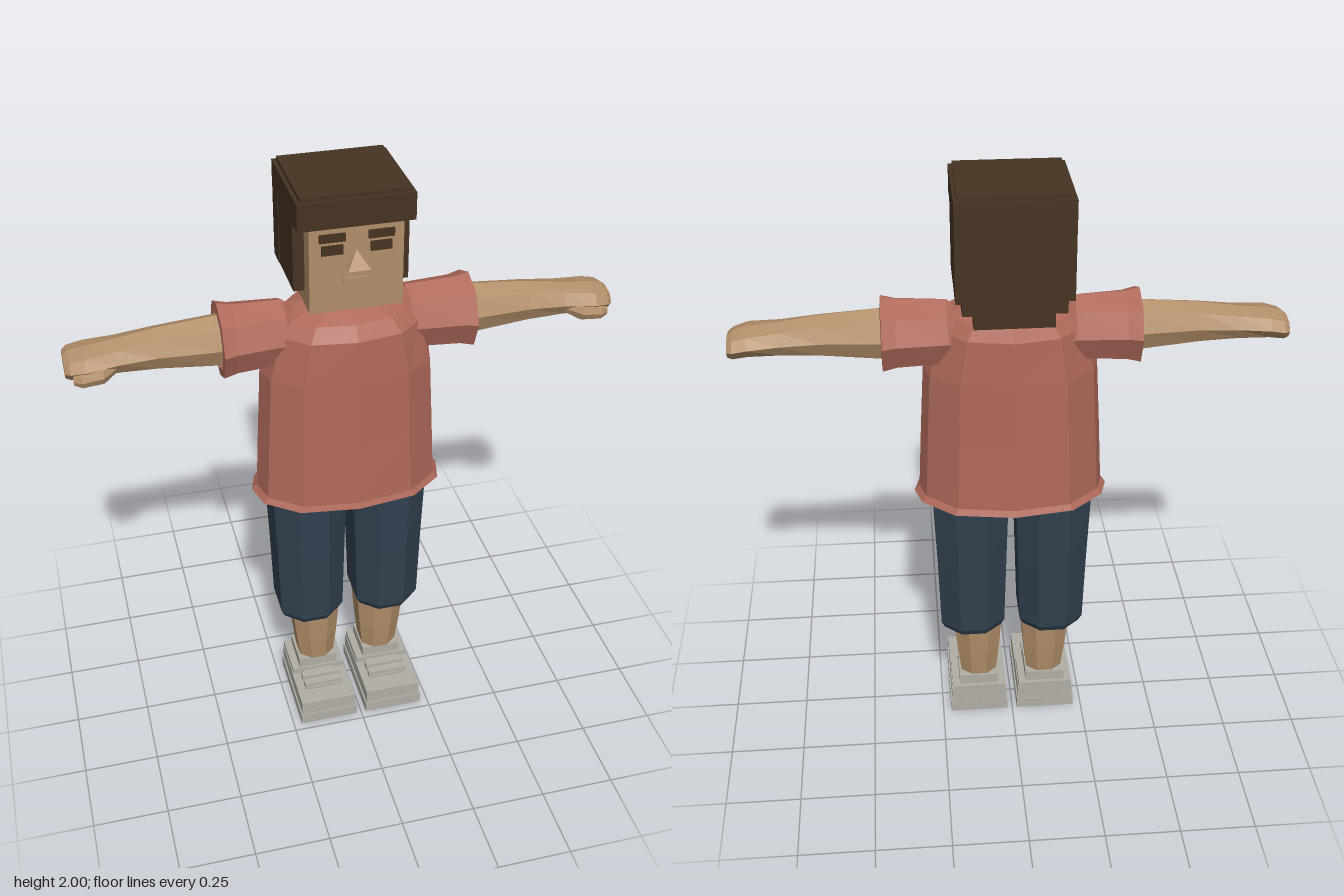
import * as THREE from 'three';

const mat = (name, color) => {
  const m = new THREE.MeshStandardMaterial({ color, flatShading: true });
  m.name = name;
  return m;
};

// Joins equal-length rings of [x, y, z] points, ordered along the growing axis, and caps both ends
function loft(rings) {
  const p = [];
  const n = rings[0].length;
  const mid = r => [0, 1, 2].map(k => r.reduce((s, v) => s + v[k], 0) / n);
  const first = rings[0], last = rings[rings.length - 1];
  const m0 = mid(first), m1 = mid(last);
  for (let j = 0; j < n; j++) {
    const k = (j + 1) % n;
    for (let i = 0; i < rings.length - 1; i++) {
      const a = rings[i], b = rings[i + 1];
      p.push(...a[j], ...a[k], ...b[k], ...a[j], ...b[k], ...b[j]);
    }
    p.push(...m0, ...first[k], ...first[j], ...m1, ...last[j], ...last[k]);
  }
  const g = new THREE.BufferGeometry();
  g.setAttribute('position', new THREE.Float32BufferAttribute(p, 3));
  g.computeVertexNormals();
  return g;
}

// Eight-sided ring round the y axis with bevelled corners
const ringY = (y, cx, cz, rx, rz, kx = 0.42, kz = 0.55) =>
  [[1, -kx], [1, kx], [kz, 1], [-kz, 1], [-1, kx], [-1, -kx], [-kz, -1], [kz, -1]]
    .map(([u, v]) => [cx + v * rx, y, cz + u * rz]);

// Eight-sided ring round the x axis with a corner at the top
const ringX = (x, cy, cz, ry, rz) => Array.from({ length: 8 }, (_, i) => {
  const a = i * Math.PI / 4;
  return [x, cy + Math.cos(a) * ry, cz + Math.sin(a) * rz];
});

// Torso ring: ridge at front and back centre, flat sides
const ringTorso = (y, rx, front, back) => {
  const half = [[0, 1], [0.6, 0.86], [0.93, 0.42]];
  const pts = half.map(([x, z]) => [x * rx, y, z * front]);
  half.slice().reverse().forEach(([x, z]) => pts.push([x * rx, y, z * back]));
  const other = pts.slice(1, -1).reverse().map(([x, , z]) => [-x, y, z]);
  const right = [rx, y, (front + back) / 2], left = [-rx, y, (front + back) / 2];
  return [...pts.slice(0, 3), right, ...pts.slice(3), ...other.slice(0, 2), left, ...other.slice(2)];
};

export function createModel() {
  const skin = mat('skin', 0xb28f6a);
  const hair = mat('dark brown', 0x463322);
  const red = mat('shirt red', 0xb06a5b);
  const navy = mat('shorts navy', 0x30414f);
  const grey = mat('shoe grey', 0xb0aea4);

  const model = new THREE.Group();
  model.name = 'standingFigure';
  const add = (name, geometry, material) => {
    const m = new THREE.Mesh(geometry, material);
    m.name = name;
    model.add(m);
    return m;
  };
  // Box given by its limits on each axis
  const box = (name, material, x0, x1, y0, y1, z0, z1) =>
    add(name, new THREE.BoxGeometry(x1 - x0, y1 - y0, z1 - z0)
      .translate((x0 + x1) / 2, (y0 + y1) / 2, (z0 + z1) / 2), material);

  // Shirt body with a turned-in hem
  add('shirtBody', loft([
    [0.95, 0.27, 0.14, -0.17], [0.905, 0.31, 0.175, -0.2], [0.905, 0.322, 0.185, -0.21],
    [0.925, 0.305, 0.178, -0.2], [1.15, 0.293, 0.17, -0.192], [1.37, 0.28, 0.163, -0.187],
    [1.52, 0.24, 0.155, -0.18], [1.565, 0.2, 0.125, -0.16], [1.588, 0.13, 0.07, -0.13],
  ].map(a => ringTorso(...a))), red);

  // Neck and head
  add('neck', loft([1.54, 1.65].map(y => ringY(y, 0, -0.03, 0.123, 0.09))), skin);
  box('head', skin, -0.145, 0.145, 1.625, 1.93, -0.13, 0.127);

  // Hair: cap, side panels, back and nape
  box('hairCap', hair, -0.18, 0.18, 1.9, 1.987, -0.208, 0.132);
  box('hairTop', hair, -0.168, 0.168, 1.987, 2, -0.196, 0.12);
  box('hairCore', hair, -0.172, 0.172, 1.69, 1.9, -0.2, 0.05);
  box('hairBack', hair, -0.18, 0.18, 1.67, 1.9, -0.206, -0.135);
  box('hairLowerBack', hair, -0.16, 0.16, 1.625, 1.7, -0.195, -0.115);
  box('hairNape', hair, -0.125, 0.125, 1.57, 1.64, -0.175, -0.115);

  // Nose and mouth
  add('nose', new THREE.ConeGeometry(0.05, 0.055, 4, 1).rotateY(Math.PI / 4)
    .translate(0, 1.797, 0.127), skin);
  box('mouth', skin, -0.04, 0.04, 1.722, 1.734, 0.12, 0.134);

  for (const s of [1, -1]) {
    const side = s > 0 ? 'left' : 'right';
    const sbox = (name, m, x0, x1, ...rest) =>
      box(side + name, m, Math.min(s * x0, s * x1), Math.max(s * x0, s * x1), ...rest);
    // Rings listed outward from the body, reversed on the -x side
    const limb = (name, m, rows) => {
      const rings = rows.map(([x, ...r]) => ringX(s * x, ...r));
      add(side + name, loft(s > 0 ? rings : rings.reverse()), m);
    };
    const leg = (name, m, rows) => add(side + name, loft(rows.map(
      ([y, cx, cz, rx, rz]) => ringY(y, s * cx, cz, rx, rz))), m);

    // Face details
    sbox('SideHair', hair, 0.14, 0.18, 1.675, 1.9, -0.123, 0.065);
    sbox('Brow', hair, 0.035, 0.115, 1.857, 1.883, 0.126, 0.134);
    sbox('Eye', hair, 0.042, 0.108, 1.815, 1.846, 0.126, 0.132);

    // Sleeve with an open cuff
    limb('Sleeve', red, [
      [0.13, 1.47, -0.02, 0.07, 0.08], [0.2, 1.495, -0.02, 0.11, 0.1],
      [0.36, 1.495, -0.017, 0.117, 0.112], [0.405, 1.495, -0.017, 0.127, 0.125],
      [0.407, 1.495, -0.017, 0.1, 0.1], [0.36, 1.495, -0.017, 0.08, 0.08],
    ]);

    // Arm tapering into a flat hand
    limb('Arm', skin, [
      [0.3, 1.495, -0.017, 0.088, 0.08], [0.42, 1.495, -0.017, 0.085, 0.078],
      [0.6, 1.497, -0.016, 0.067, 0.07], [0.72, 1.493, -0.015, 0.053, 0.073],
      [0.82, 1.49, -0.012, 0.045, 0.088], [0.865, 1.482, -0.018, 0.042, 0.08],
      [0.882, 1.478, -0.02, 0.034, 0.065],
    ]);
    limb('Thumb', skin, [
      [0.72, 1.48, 0.025, 0.02, 0.02], [0.77, 1.468, 0.053, 0.03, 0.03],
      [0.835, 1.462, 0.06, 0.027, 0.025], [0.86, 1.46, 0.055, 0.016, 0.015],
    ]);

    // Shorts leg with a turned-in cuff, and the shin below
    leg('ShortsLeg', navy, [
      [0.41, 0.137, -0.015, 0.09, 0.1], [0.37, 0.137, -0.015, 0.098, 0.112],
      [0.395, 0.137, -0.015, 0.11, 0.125], [0.65, 0.137, -0.018, 0.117, 0.132],
      [0.88, 0.138, -0.02, 0.125, 0.135], [1.0, 0.13, -0.02, 0.12, 0.13],
    ]);
    leg('Shin', skin, [
      [0.13, 0.117, -0.013, 0.06, 0.063], [0.25, 0.118, -0.013, 0.073, 0.077],
      [0.42, 0.12, -0.013, 0.088, 0.09],
    ]);

    // Shoe: sole, upper, collar and two straps
    sbox('ShoeSole', grey, 0.017, 0.222, 0, 0.04, -0.1, 0.222);
    sbox('ShoeUpper', grey, 0.022, 0.217, 0.04, 0.09, -0.098, 0.217);
    sbox('ShoeHeel', grey, 0.025, 0.214, 0.09, 0.112, -0.098, 0.06);
    sbox('ShoeCollar', grey, 0.05, 0.188, 0.112, 0.15, -0.085, 0.052);
    sbox('ShoeTongue', grey, 0.06, 0.178, 0.09, 0.1, 0.06, 0.15);
    for (const z of [0.08, 0.12])
      sbox('ShoeStrap', grey, 0.05, 0.188, 0.09, 0.112, z, z + 0.025);
  }

  // Hips joining the shorts legs
  add('shortsHips', loft([
    ringY(0.85, 0, -0.02, 0.06, 0.07), ringY(0.885, 0, -0.02, 0.2, 0.125, 0.6),
    ringY(1.0, 0, -0.02, 0.255, 0.135, 0.6),
  ]), navy);

  return model;
}
